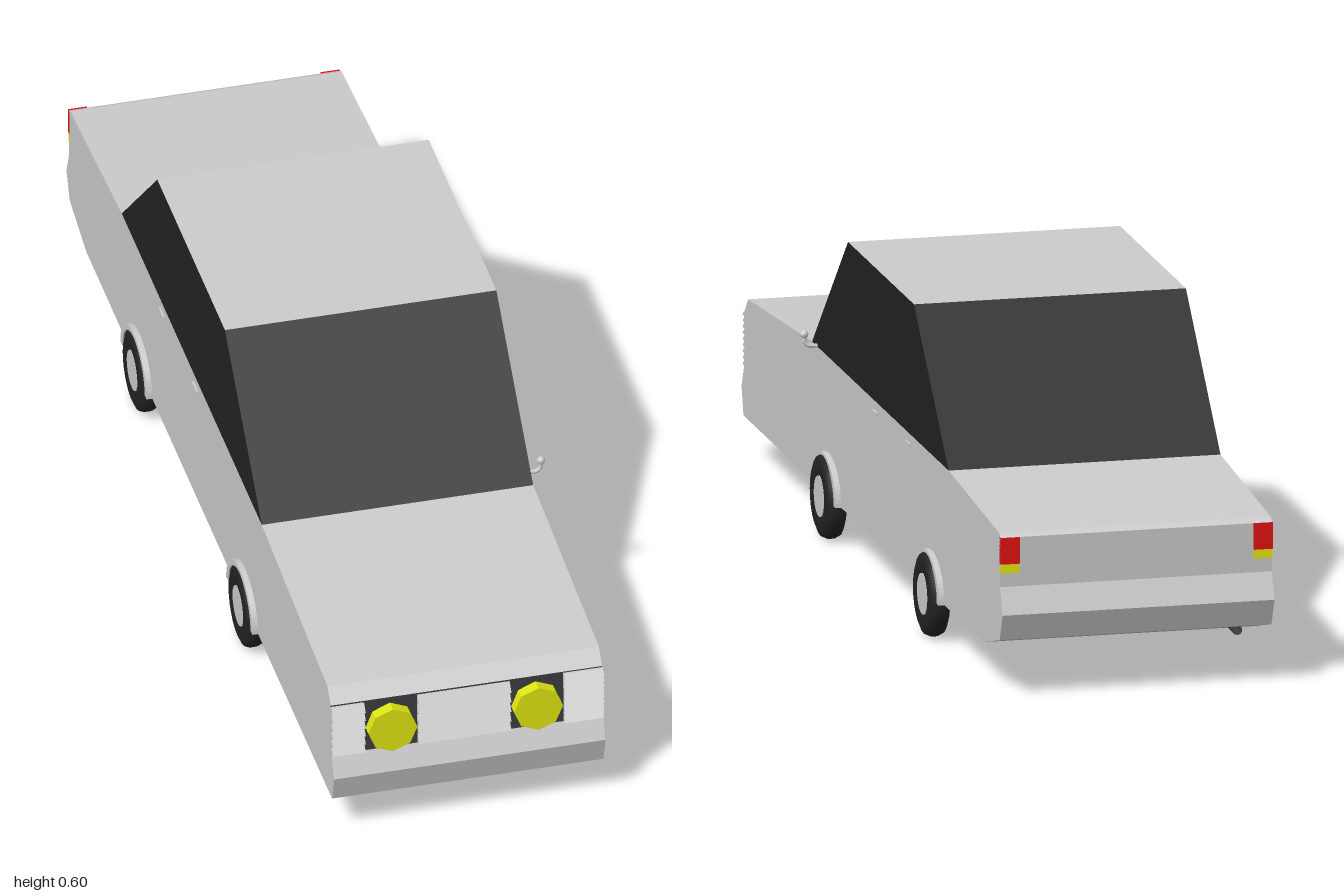
import * as THREE from 'three';

const X0 = -0.27, X1 = 0.25, MID = (X0 + X1) / 2; // body sides
const mat = (color) => new THREE.MeshStandardMaterial({ color, side: THREE.DoubleSide, flatShading: true });
const grey = mat(0xcccccc), glass = mat(0x222222), dark = mat(0x3a3a40);
const yellow = mat(0xdde312), red = mat(0xdd1111);
const tyreMat = new THREE.MeshStandardMaterial({ color: 0x222222 });

function add(parent, name, geometry, material, x = 0, y = 0, z = 0) {
  const mesh = new THREE.Mesh(geometry, material);
  mesh.name = name;
  mesh.position.set(x, y, z);
  parent.add(mesh);
  return mesh;
}

// sheet running across the car along a line of (z, y) points
function ribbon(points, x0 = X0, x1 = X1) {
  const v = [];
  for (let i = 0; i < points.length - 1; i++) {
    const [z0, y0] = points[i], [z1, y1] = points[i + 1];
    v.push(x0, y0, z0, x1, y0, z0, x1, y1, z1, x0, y0, z0, x1, y1, z1, x0, y1, z1);
  }
  const g = new THREE.BufferGeometry();
  g.setAttribute('position', new THREE.Float32BufferAttribute(v, 3));
  g.computeVertexNormals();
  return g;
}

const shapeOf = (points) => new THREE.Shape(points.map(([z, y]) => new THREE.Vector2(z, y)));

// flat side panel from a (z, y) outline
const sidePanel = (points) => new THREE.ShapeGeometry(shapeOf(points)).rotateY(-Math.PI / 2);

// solid bar between x0 and x1 with a (z, y) section
const prism = (shape, x0, x1) =>
  new THREE.ExtrudeGeometry(shape, { depth: x1 - x0, bevelEnabled: false, curveSegments: 16 })
    .rotateY(-Math.PI / 2).translate(x1, 0, 0);

function makeWheel(side) {
  const wheel = new THREE.Group();
  wheel.name = 'wheel';
  const profile = [[0, -0.0195], [0.065, -0.0195], [0.076, -0.015], [0.08, -0.006],
    [0.08, 0.006], [0.076, 0.015], [0.065, 0.0195], [0.045, 0.0195], [0.041, 0.016], [0, 0.016]];
  const tyre = new THREE.LatheGeometry(profile.map((p) => new THREE.Vector2(...p)), 24);
  add(wheel, 'tyre', tyre.rotateZ(-side * Math.PI / 2), tyreMat);
  const cap = new THREE.CylinderGeometry(0.039, 0.039, 0.004, 20).rotateZ(Math.PI / 2);
  add(wheel, 'hubcap', cap, grey, side * 0.0165);
  return wheel;
}

export function createModel() {
  const car = new THREE.Group();
  car.name = 'car';

  // body shell, open underneath
  const nose = [[0.985, 0.08], [1, 0.133], [0.98, 0.175]];
  const hood = [[0.975, 0.283], [0.95, 0.31], [0.46, 0.345]];
  const tail = [[-0.585, 0.345], [-0.97, 0.317], [-0.983, 0.31], [-0.978, 0.215],
    [-0.998, 0.165], [-0.975, 0.113], [-0.85, 0.08]];
  add(car, 'frontBumper', ribbon(nose), grey);
  add(car, 'hood', ribbon(hood), grey);
  add(car, 'trunkAndRear', ribbon(tail), grey);
  for (const x of [X0, X1]) add(car, 'bodySide', sidePanel([...nose, ...hood, ...tail]), grey, x);

  // cabin
  const cabin = [[0.46, 0.345], [0.185, 0.6], [-0.32, 0.6], [-0.585, 0.345]];
  add(car, 'windscreen', ribbon(cabin.slice(0, 2)), glass);
  add(car, 'roof', ribbon(cabin.slice(1, 3)), grey);
  add(car, 'rearWindow', ribbon(cabin.slice(2)), glass);
  for (const x of [X0, X1]) add(car, 'sideWindows', sidePanel(cabin), glass, x);

  // grille: backing panel and three banks of wedge slats
  add(car, 'grillePanel', ribbon([[0.98, 0.175], [0.975, 0.283]]), dark);
  const banks = [[X0, -0.207, 6], [-0.105, 0.072, 5], [0.175, X1, 9]];
  for (const [a, b, count] of banks) {
    const step = 0.106 / count;
    for (let i = 0; i < count; i++) {
      const y = 0.176 + i * step;
      const wedge = shapeOf([[0.975, y], [0.992, y + step * 0.15], [0.98, y + step * 0.9], [0.975, y + step * 0.9]]);
      add(car, 'grilleSlat', prism(wedge, a, b), grey);
    }
  }
  for (const x of [-0.157, 0.122]) {
    const lamp = new THREE.CylinderGeometry(0.047, 0.047, 0.024, 8).rotateX(Math.PI / 2);
    add(car, 'headlight', lamp, yellow, x, 0.224, 0.987);
  }

  // parts repeated on both sides
  for (const side of [-1, 1]) {
    const wall = side < 0 ? X0 : X1;

    add(car, 'tailLight', new THREE.BoxGeometry(0.036, 0.05, 0.012), red, wall - side * 0.018, 0.285, -0.981);
    add(car, 'rearIndicator', new THREE.BoxGeometry(0.036, 0.018, 0.012), yellow, wall - side * 0.018, 0.251, -0.978);

    for (const z of [-0.03, -0.28]) {
      add(car, 'doorHandle', new THREE.BoxGeometry(0.006, 0.008, 0.035), grey, wall + side * 0.001, 0.324, z);
    }

    for (const z of [0.335, -0.455]) {
      const wheel = makeWheel(side);
      wheel.position.set(side < 0 ? -0.2655 : 0.25, 0.08, z);
      car.add(wheel);

      // arch flare
      const arch = new THREE.Shape();
      arch.absellipse(0, 0, 0.098, 0.083, 0, Math.PI, false);
      arch.absellipse(0, 0, 0.083, 0.073, Math.PI, 0, true);
      add(car, 'wheelArch', prism(arch, -0.006, 0.006), grey, wall + side * 0.005, 0.08, z);
    }
  }

  // wing mirror on the left side
  const arm = new THREE.CatmullRomCurve3([[0.245, 0.347], [0.267, 0.348], [0.274, 0.354], [0.275, 0.37]]
    .map(([x, y]) => new THREE.Vector3(x, y, 0.42)));
  add(car, 'mirrorArm', new THREE.TubeGeometry(arm, 10, 0.004, 8), grey);
  add(car, 'mirrorHead', new THREE.SphereGeometry(0.008, 10, 8), grey, 0.275, 0.37, 0.42);

  // exhaust under the rear
  const pipe = new THREE.CylinderGeometry(0.009, 0.009, 0.05, 10, 1, true).rotateX(Math.PI / 2);
  add(car, 'exhaust', pipe, dark, MID - 0.2, 0.1, -0.93);

  return car;
}
